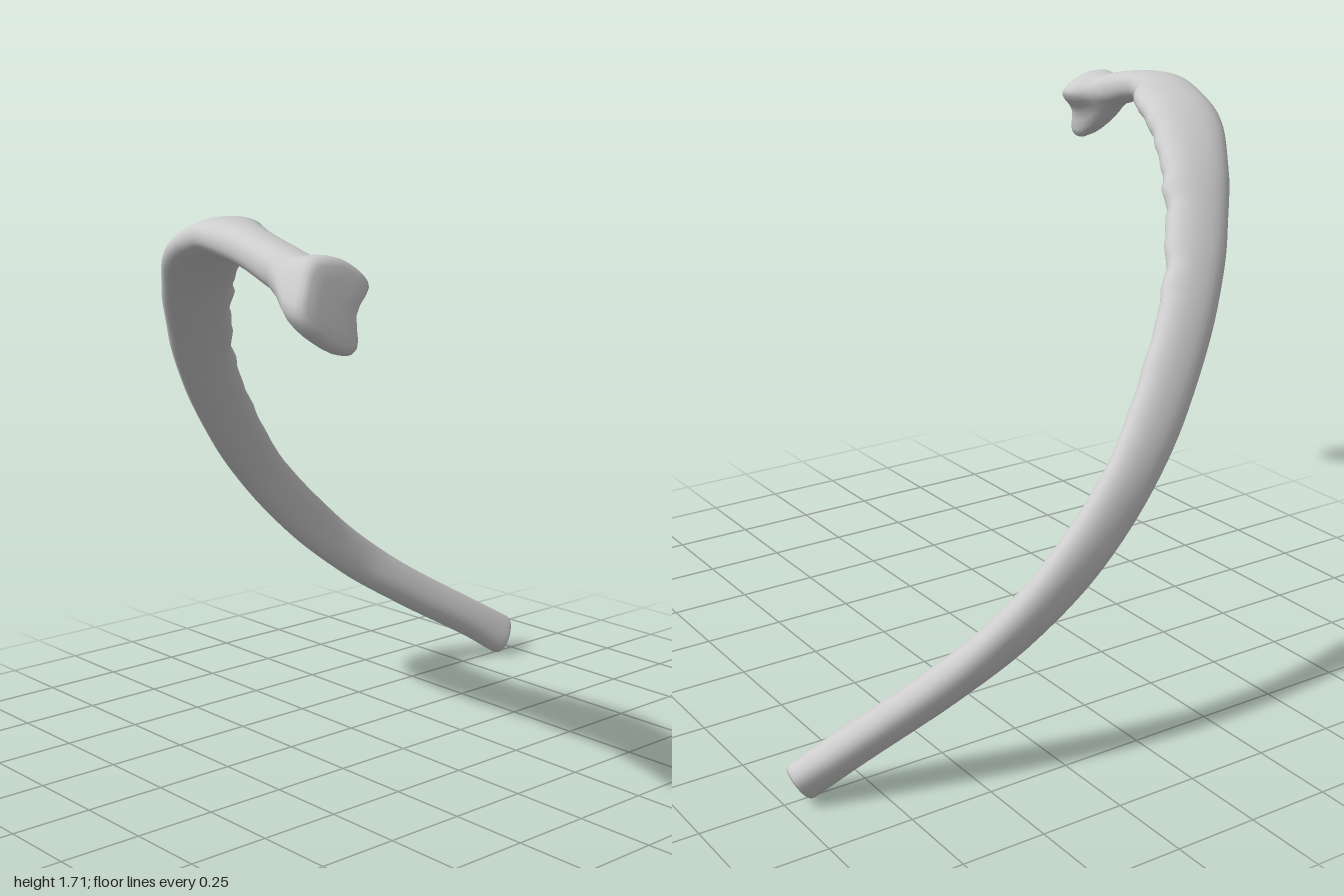
import * as THREE from 'three';

const SIDES = 28;
const STEPS = 96;

// Stations along the shaft: centre x, y, z, half width, half thickness
const STATIONS = [
  [-0.505, 0.068, -0.945, 0.074, 0.05],
  [-0.55, 0.15, -0.82, 0.068, 0.052],
  [-0.63, 0.295, -0.585, 0.07, 0.052],
  [-0.685, 0.425, -0.4, 0.076, 0.049],
  [-0.71, 0.585, -0.21, 0.08, 0.046],
  [-0.68, 0.78, 0.0, 0.08, 0.043],
  [-0.595, 0.98, 0.19, 0.086, 0.045],
  [-0.47, 1.195, 0.375, 0.09, 0.047],
  [-0.34, 1.365, 0.5, 0.1, 0.05],
  [-0.2, 1.51, 0.6, 0.112, 0.052],
  [-0.05, 1.61, 0.68, 0.125, 0.053],
  [0.07, 1.65, 0.725, 0.12, 0.052],
  [0.2, 1.668, 0.79, 0.092, 0.05],
  [0.4, 1.648, 0.855, 0.066, 0.05],
  [0.56, 1.612, 0.885, 0.066, 0.055],
];

// Outline of the knobbed head, as z, y, starting at the back and going under
const HEAD = [
  [0.765, 1.58], [0.82, 1.52], [0.835, 1.44], [0.875, 1.425], [0.95, 1.465],
  [1.0, 1.53], [0.975, 1.6], [0.935, 1.655], [0.85, 1.655], [0.785, 1.62],
];

// Head rings: x, blend from shaft to head outline, scale
const HEAD_RINGS = [
  [0.6, 0.2, 1], [0.635, 0.55, 1], [0.665, 0.88, 1], [0.69, 1, 1],
  [0.715, 1, 0.99], [0.73, 1, 0.93], [0.738, 1, 0.8], [0.74, 1, 0.5],
];

function createRings() {
  const curve = new THREE.CatmullRomCurve3(
    STATIONS.map(([x, y, z]) => new THREE.Vector3(x, y, z)), false, 'catmullrom', 0.5);
  const last = STATIONS.length - 1;
  const rings = [];

  const section = (u, scale = 1, push = 0) => {
    const p = curve.getPoint(u);
    const t = curve.getTangent(u);
    const inward = new THREE.Vector3(t.y, -t.x, 0).normalize();
    const across = t.clone().cross(inward).normalize();
    const i = Math.min(Math.floor(u * last), last - 1);
    const f = THREE.MathUtils.smoothstep(u * last - i, 0, 1);
    const w = THREE.MathUtils.lerp(STATIONS[i][3], STATIONS[i + 1][3], f);
    const h = THREE.MathUtils.lerp(STATIONS[i][4], STATIONS[i + 1][4], f);
    // slight ripple on the rough upper edge of the wide stretch
    const rough = Math.exp(-(((u - 0.58) / 0.14) ** 2)) * 0.005 * (Math.sin(u * 190) + Math.sin(u * 117));
    const ring = [];
    for (let j = 0; j < SIDES; j++) {
      const a = (j / SIDES) * Math.PI * 2;
      const c = Math.cos(a), s = Math.sin(a);
      const cw = Math.sign(c) * Math.abs(c) ** 0.9 * w + Math.max(c, 0) ** 3 * rough;
      const sh = Math.sign(s) * Math.abs(s) ** 0.9 * h;
      ring.push(p.clone().addScaledVector(across, cw * scale)
        .addScaledVector(inward, sh * scale).addScaledVector(t, -push));
    }
    return ring;
  };

  // flat, slightly dished front end with a rounded rim
  rings.push(section(0, 0.05, 0.008), section(0, 0.6, 0.01), section(0, 0.86, 0.014), section(0, 0.96, 0.009));
  for (let k = 0; k <= STEPS; k++) rings.push(section(k / STEPS));

  // head
  const outline = new THREE.CatmullRomCurve3(
    HEAD.map(([z, y]) => new THREE.Vector3(0, y, z)), true, 'catmullrom', 0.5);
  const neck = rings[rings.length - 1];
  for (const [x, blend, scale] of HEAD_RINGS) {
    const ring = [];
    for (let j = 0; j < SIDES; j++) {
      const o = outline.getPoint(j / SIDES);
      const from = neck[j];
      const drop = (x - 0.56) * 0.25;
      const y = THREE.MathUtils.lerp(from.y - drop, o.y, blend);
      const z = THREE.MathUtils.lerp(from.z, o.z, blend);
      const sy = 1.55 + (y - 1.55) * scale, sz = 0.89 + (z - 0.89) * scale;
      // the end face leans back at the top
      ring.push(new THREE.Vector3(x - (sy - 1.55) * 0.25 * blend + (from.x - 0.56) * (1 - blend), sy, sz));
    }
    rings.push(ring);
  }
  return rings;
}

// Skins a list of rings and closes both ends
function skin(rings) {
  const pos = [], index = [];
  for (const ring of rings) for (const p of ring) pos.push(p.x, p.y, p.z);
  const at = (i, j) => i * SIDES + (j % SIDES);
  for (let i = 0; i < rings.length - 1; i++) {
    for (let j = 0; j < SIDES; j++) {
      const a = at(i, j), b = at(i, j + 1), c = at(i + 1, j), d = at(i + 1, j + 1);
      index.push(a, c, b, b, c, d);
    }
  }
  const cap = (i, flip) => {
    const centre = rings[i].reduce((s, p) => s.add(p), new THREE.Vector3()).divideScalar(SIDES);
    const n = pos.length / 3;
    pos.push(centre.x, centre.y, centre.z);
    for (let j = 0; j < SIDES; j++) {
      if (flip) index.push(n, at(i, j + 1), at(i, j));
      else index.push(n, at(i, j), at(i, j + 1));
    }
  };
  cap(0, false);
  cap(rings.length - 1, true);
  const g = new THREE.BufferGeometry();
  g.setAttribute('position', new THREE.Float32BufferAttribute(pos, 3));
  g.setIndex(index);
  g.computeVertexNormals();
  return g;
}

export function createModel() {
  const group = new THREE.Group();
  group.name = 'rib';
  const bone = new THREE.MeshStandardMaterial({ color: 0xcccccc });
  bone.name = 'bone grey';
  const mesh = new THREE.Mesh(skin(createRings()), bone);
  mesh.name = 'ribBone';
  group.add(mesh);
  return group;
}
